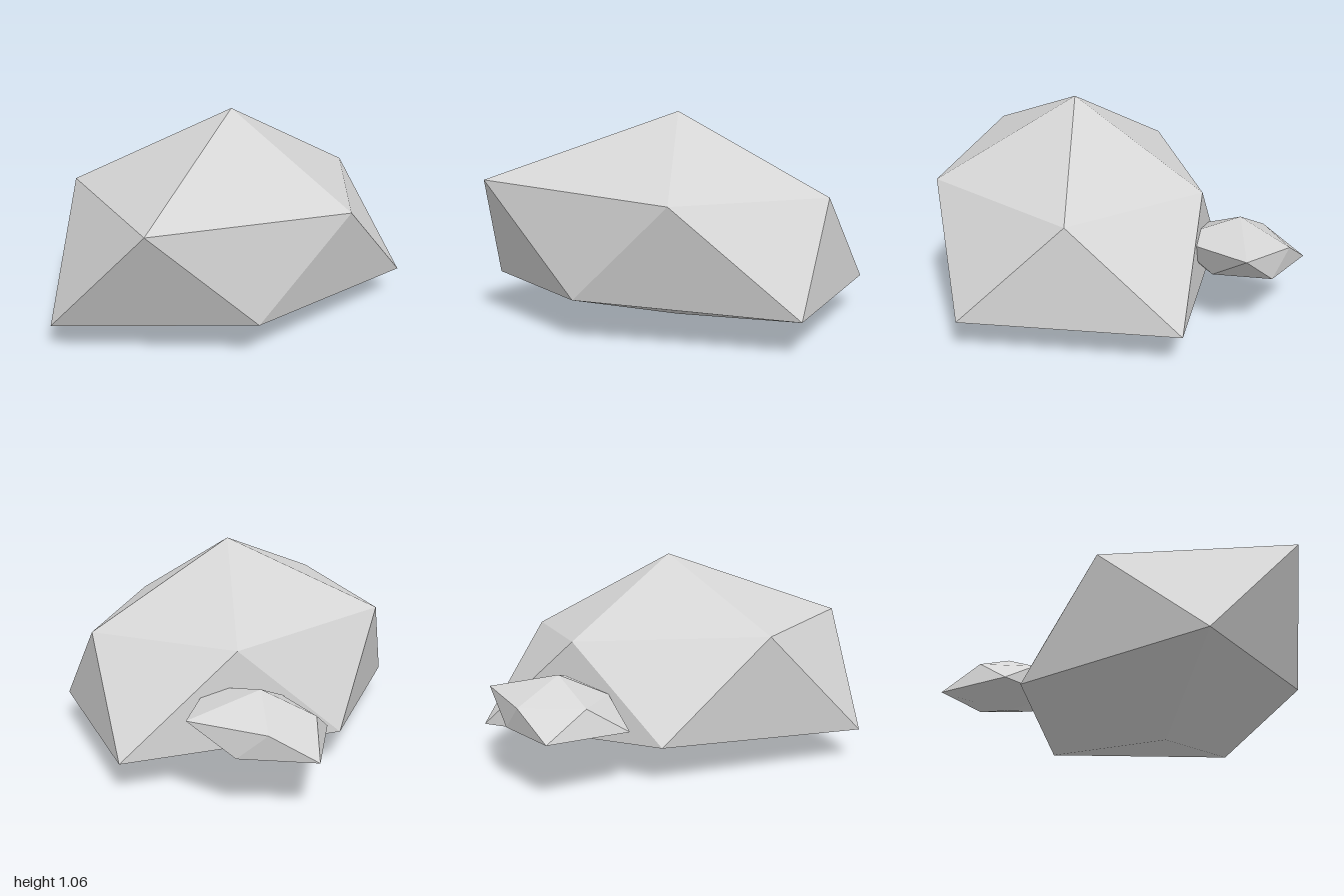
import * as THREE from 'three';

// Irregular twenty-sided stone: two poles and two staggered rings of five,
// both listed clockwise from above; lower[i] sits between upper[i] and upper[i+1].
function rockGeometry(top, upper, lower, bottom) {
  const corners = [];
  const n = upper.length;
  for (let i = 0; i < n; i++) {
    const j = (i + 1) % n;
    corners.push(
      top, upper[j], upper[i],
      upper[i], upper[j], lower[i],
      lower[i], upper[j], lower[j],
      bottom, lower[i], lower[j],
    );
  }
  const geometry = new THREE.BufferGeometry();
  geometry.setAttribute('position', new THREE.Float32BufferAttribute(corners.flat(), 3));
  geometry.computeVertexNormals(); // unshared corners give flat facets
  return geometry;
}

export function createModel() {
  const group = new THREE.Group();
  group.name = 'rocks';
  const stone = new THREE.MeshStandardMaterial({ color: 0xd4d4d4 });
  stone.name = 'light grey stone';

  const addRock = (name, ...rings) => {
    const mesh = new THREE.Mesh(rockGeometry(...rings), stone);
    mesh.name = name;
    group.add(mesh);
  };

  // Large boulder
  addRock('largeRock',
    [0.18, 1.06, -0.02],
    [[0.44, 0.73, 0.92], [-0.43, 0.69, 0.5], [-0.36, 0.65, -0.48], [0.39, 0.65, -0.77], [0.9, 0.67, -0.02]],
    [[-0.11, 0.15, 1], [-0.62, 0.18, -0.02], [-0.1, 0.16, -1], [0.88, 0.16, -0.61], [0.71, 0.2, 0.44]],
    [0.18, 0, -0.02]);

  // Small stone lodged against its back corner
  addRock('smallRock',
    [-0.55, 0.52, -0.52],
    [[-0.47, 0.41, -0.29], [-0.75, 0.4, -0.36], [-0.75, 0.4, -0.68], [-0.44, 0.44, -0.88], [-0.19, 0.44, -0.52]],
    [[-0.66, 0.27, -0.17], [-0.91, 0.27, -0.52], [-0.63, 0.28, -0.76], [-0.36, 0.29, -0.66], [-0.32, 0.28, -0.36]],
    [-0.55, 0.22, -0.52]);

  return group;
}
